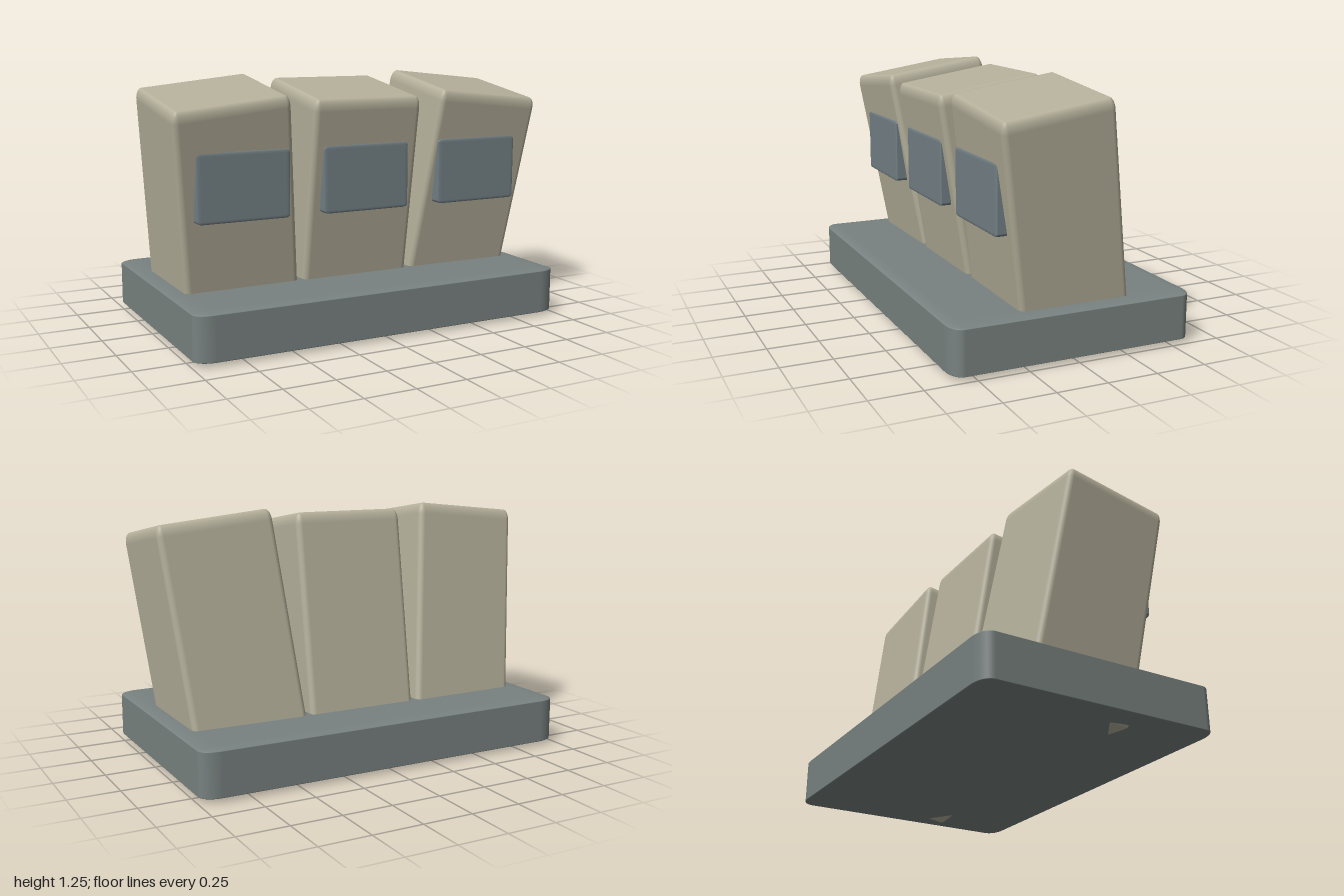
import * as THREE from 'three';
import { RoundedBoxGeometry } from 'three/addons/geometries/RoundedBoxGeometry.js';

const paint = (name, color) => {
  const material = new THREE.MeshStandardMaterial({ color });
  material.name = name;
  return material;
};

export function createModel() {
  const model = new THREE.Group();
  model.name = 'threeBlockStand';

  const slate = paint('slate grey', 0x788280);
  const screenGrey = paint('blue grey', 0x738085);
  const beige = paint('warm beige', 0xb5b09b);

  // One soft-edged unit cube, stretched for every part
  const cube = new RoundedBoxGeometry(1, 1, 1, 5, 0.05);
  const addBox = (name, material, size, position) => {
    const mesh = new THREE.Mesh(cube, material);
    mesh.name = name;
    mesh.scale.set(...size);
    mesh.position.set(...position);
    model.add(mesh);
    return mesh;
  };

  // Base slab
  addBox('base', slate, [1.98, 0.235, 1.23], [0, 0.1325, 0]);

  // Blocks lean forward, and the outer two fan outwards
  const lean = THREE.MathUtils.degToRad(9);
  const fan = THREE.MathUtils.degToRad(6);
  [['right', -1], ['centre', 0], ['left', 1]].forEach(([label, side]) => {
    const block = addBox(`${label}Block`, beige, [0.587, 1.14, 0.553], [side * 0.655, 0.629, 0.03]);
    block.rotation.set(lean, 0, -side * fan, 'ZYX');

    // Upright panel set into the front of the block
    addBox(`${label}Panel`, screenGrey, [0.468, 0.33, 0.1], [side * 0.649, 0.76, 0.311]);
  });

  return model;
}
